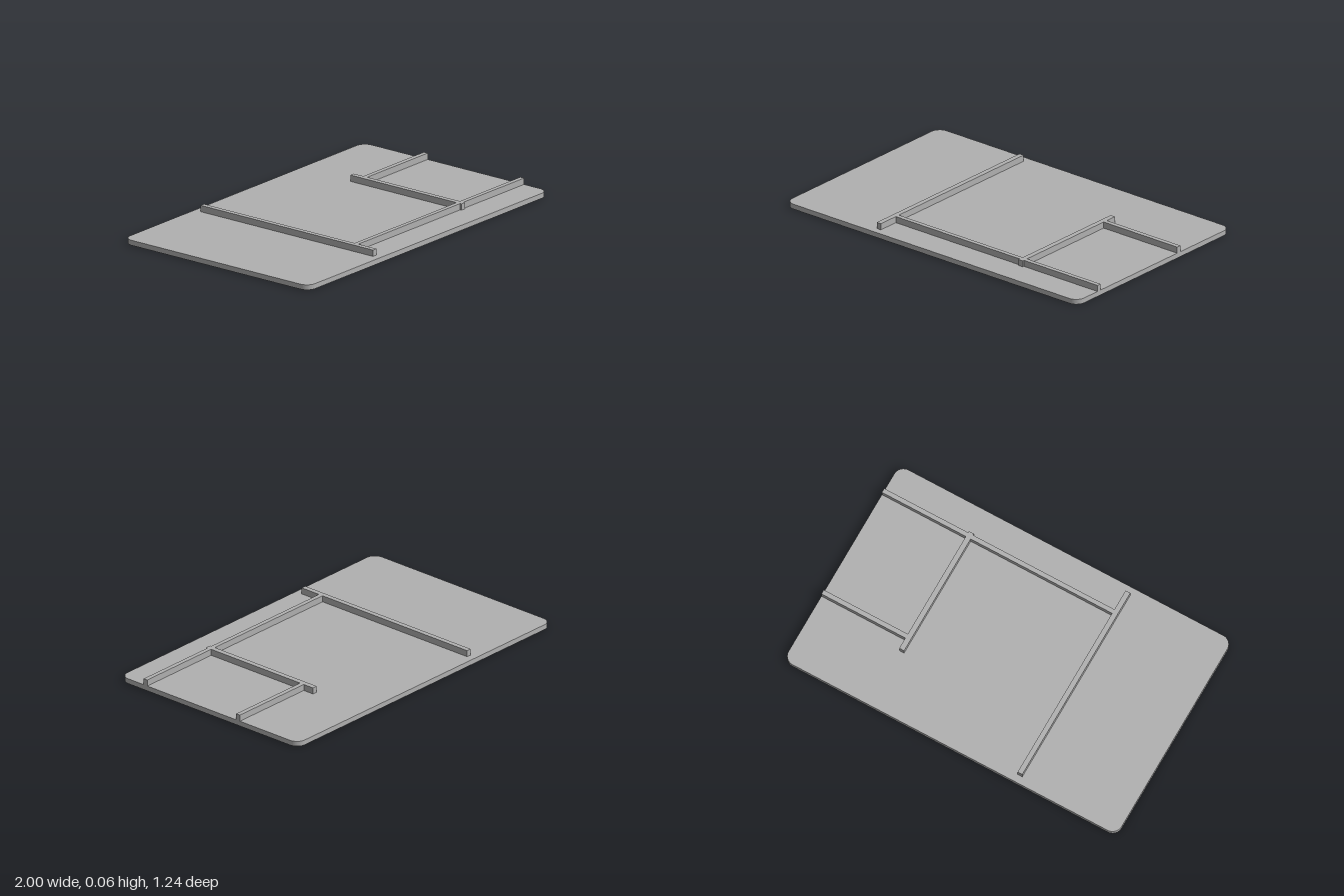
import * as THREE from 'three';

export function createModel() {
  const model = new THREE.Group();
  const grey = new THREE.MeshStandardMaterial({ color: 0xb0b0b0 });
  grey.name = 'grey';

  const plateTop = 0.028, ribTop = 0.063;

  // Base plate with rounded corners
  const w = 1, d = 0.622, r = 0.055;
  const outline = new THREE.Shape();
  outline.absarc(w - r, d - r, r, 0, Math.PI / 2);
  outline.absarc(-w + r, d - r, r, Math.PI / 2, Math.PI);
  outline.absarc(-w + r, -d + r, r, Math.PI, Math.PI * 1.5);
  outline.absarc(w - r, -d + r, r, Math.PI * 1.5, Math.PI * 2);
  outline.closePath();
  const plateGeometry = new THREE.ExtrudeGeometry(outline, {
    depth: plateTop, bevelEnabled: false, curveSegments: 10,
  });
  plateGeometry.rotateX(-Math.PI / 2);
  const plate = new THREE.Mesh(plateGeometry, grey);
  plate.name = 'basePlate';
  model.add(plate);

  // Raised ribs: name, x range, z range
  const ribs = [
    ['longCrossRib', -0.41, -0.382, -0.58, 0.58],
    ['shortCrossRib', 0.467, 0.496, -0.28, 0.468],
    ['frontRibInner', -0.382, 0.467, 0.434, 0.459],
    ['frontRibOuter', 0.496, 1, 0.434, 0.459],
    ['backRib', 0.496, 1, -0.215, -0.189],
  ];
  for (const [name, x0, x1, z0, z1] of ribs) {
    const height = ribTop - plateTop;
    const rib = new THREE.Mesh(new THREE.BoxGeometry(x1 - x0, height, z1 - z0), grey);
    rib.position.set((x0 + x1) / 2, plateTop + height / 2, (z0 + z1) / 2);
    rib.name = name;
    model.add(rib);
  }
  return model;
}
